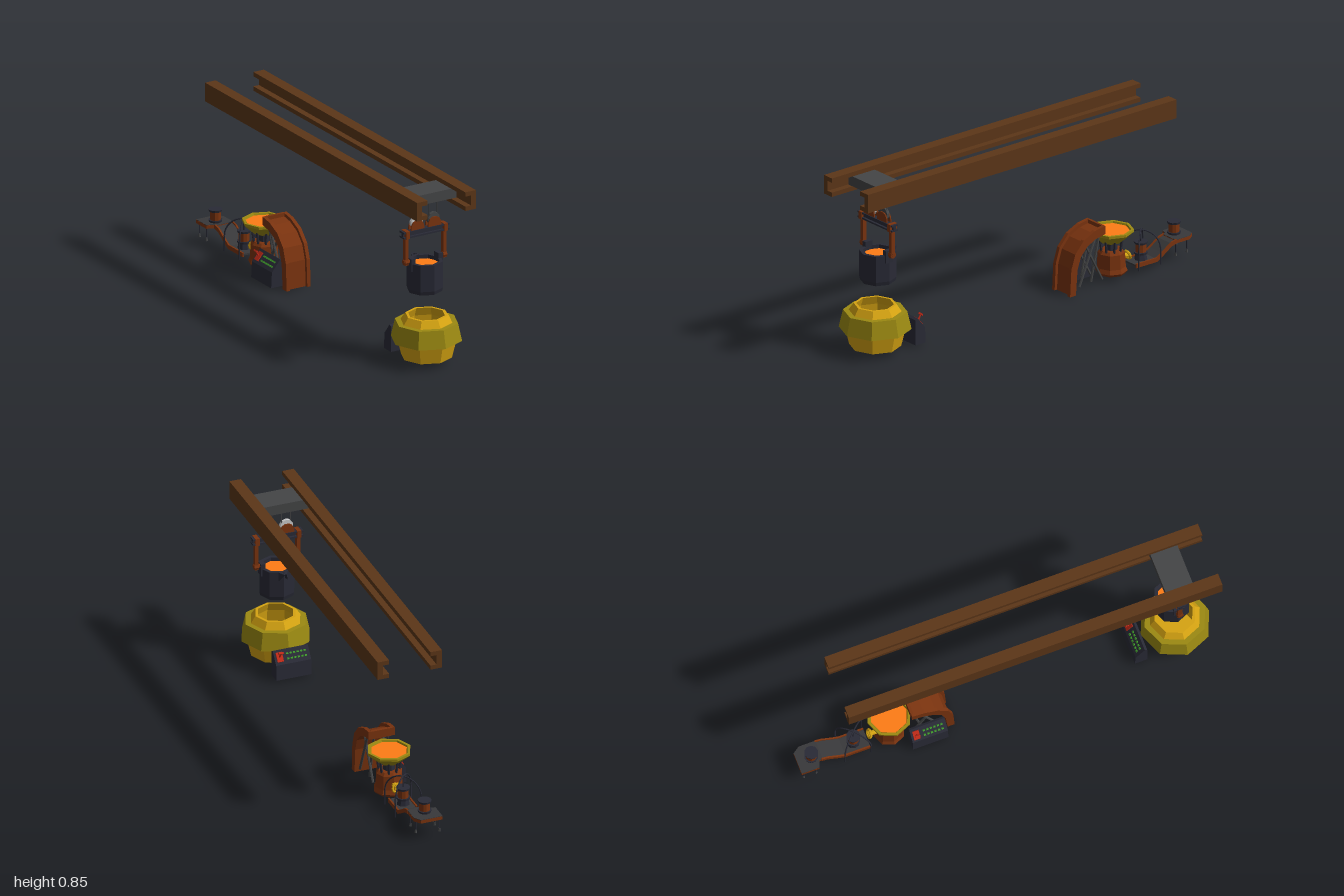
import * as THREE from 'three';

const mat = (color) => new THREE.MeshStandardMaterial({ color, flatShading: true, side: THREE.DoubleSide });
const M = {
  wood: mat(0x5c3618), rust: mat(0x7a330f), dark: mat(0x292a36), iron: mat(0x444546), deck: mat(0x38383a),
  gold: mat(0xd6a412), olive: mat(0x9c8a12), molten: mat(0xff7d16), pale: mat(0xcccccc),
  red: mat(0xc02a18), green: mat(0x3f9a2c),
};

function add(parent, name, geo, material, x = 0, y = 0, z = 0) {
  const m = new THREE.Mesh(geo, material);
  m.name = name;
  m.position.set(x, y, z);
  parent.add(m);
  return m;
}
function group(parent, name, x = 0, y = 0, z = 0) {
  const g = new THREE.Group();
  g.name = name;
  g.position.set(x, y, z);
  parent.add(g);
  return g;
}
const box = (w, h, d) => new THREE.BoxGeometry(w, h, d);
const cyl = (rt, rb, h, n = 8) => new THREE.CylinderGeometry(rt, rb, h, n);
const lathe = (pts, n = 8) => new THREE.LatheGeometry(pts.map(([r, y]) => new THREE.Vector2(r, y)), n);
const toShape = (pts) => new THREE.Shape(pts.map(([a, b]) => new THREE.Vector2(a, b)));
const extrude = (pts, depth) => new THREE.ExtrudeGeometry(toShape(pts), { depth, bevelEnabled: false });
// profile given as [z, y], extruded along x and centred on it
const sideExtrude = (pts, w) => extrude(pts, w).translate(0, 0, -w / 2).rotateY(-Math.PI / 2);
function rod(parent, name, a, b, r, material, n = 6) {
  const A = new THREE.Vector3(...a), B = new THREE.Vector3(...b);
  const m = add(parent, name, cyl(r, r, A.distanceTo(B), n), material);
  m.position.copy(A).lerp(B, 0.5);
  m.quaternion.setFromUnitVectors(new THREE.Vector3(0, 1, 0), B.sub(A).normalize());
  return m;
}

// sloped console whose keys face -z
function controlPanel(parent, name) {
  const g = group(parent, name);
  add(g, 'panelBody', sideExtrude([[0.03, 0], [0.03, 0.122], [0.018, 0.13], [-0.026, 0.075], [-0.03, 0]], 0.17), M.dark);
  const face = group(g, 'panelFace', 0, 0.103, -0.004);
  face.rotation.x = -Math.atan2(0.055, 0.044);
  for (let row = 0; row < 2; row++)
    for (let i = 0; i < 6; i++)
      add(face, 'key', box(0.01, 0.006, 0.008), M.green, -0.063 + i * 0.017, 0.002, -0.013 + row * 0.024);
  add(face, 'leverPlate', box(0.03, 0.005, 0.045), M.red, 0.06, 0.002, 0);
  rod(face, 'lever', [0.06, 0, 0], [0.06, 0.032, 0.012], 0.004, M.red);
  add(face, 'leverGrip', box(0.024, 0.008, 0.008), M.red, 0.06, 0.032, 0.012);
  return g;
}

function buildCrane(root) {
  // channel rails, open to the inside
  const c = [[0.1, 0.76], [0.156, 0.76], [0.156, 0.85], [0.1, 0.85], [0.1, 0.829], [0.13, 0.829], [0.13, 0.781], [0.1, 0.781]];
  for (const s of [-1, 1])
    add(root, 'rail', extrude(c.map(([x, y]) => [x * s, y]), 1.8), M.wood, 0, 0, -0.8);
  const g = group(root, 'craneTrolley', 0, 0, 0.815);
  add(g, 'trolley', box(0.258, 0.048, 0.13), M.iron, 0, 0.805, 0);
  for (const x of [-0.066, -0.023, 0.023, 0.066]) rod(g, 'cable', [x, 0.66, 0], [x, 0.79, 0], 0.0025, M.iron);
  // I-beam with pulleys between domed cheek plates
  add(g, 'beamWeb', box(0.24, 0.03, 0.014), M.dark, 0, 0.629, 0);
  for (const y of [0.617, 0.641]) add(g, 'beamFlange', box(0.243, 0.008, 0.036), M.dark, 0, y, 0);
  const dome = [[-0.035, 0], [0.035, 0], [0.033, 0.02], [0.024, 0.036], [0.01, 0.044], [-0.01, 0.044], [-0.024, 0.036], [-0.033, 0.02]];
  for (const s of [-1, 1]) {
    add(g, 'pulley', cyl(0.032, 0.032, 0.014, 10).rotateX(Math.PI / 2), s < 0 ? M.pale : M.iron, s * 0.045, 0.677, 0);
    for (const z of [0.008, -0.014]) add(g, 'pulleyCheek', extrude(dome, 0.006), M.rust, s * 0.045, 0.645, z);
    // hanger arms
    add(g, 'hangerArm', box(0.017, 0.166, 0.022), M.rust, s * 0.101, 0.564, 0);
    add(g, 'hangerCollar', box(0.02, 0.036, 0.042), M.rust, s * 0.101, 0.629, 0);
    add(g, 'hangerEye', cyl(0.016, 0.016, 0.02).rotateZ(Math.PI / 2), M.rust, s * 0.101, 0.495, 0);
    add(g, 'trunnionPin', cyl(0.01, 0.01, 0.045).rotateZ(Math.PI / 2), M.rust, s * 0.091, 0.496, 0);
    add(g, 'ladleLug', box(0.022, 0.06, 0.04), M.dark, s * 0.073, 0.48, 0);
  }
  // ladle with pouring lip at the back
  add(g, 'ladle', lathe([[0, 0.342], [0.08, 0.342], [0.085, 0.36], [0.085, 0.486], [0.068, 0.486], [0.068, 0.455]]), M.dark);
  add(g, 'ladleMetal', cyl(0.069, 0.069, 0.004), M.molten, 0, 0.466, 0);
  for (const s of [-1, 1]) {
    const lip = add(g, 'ladleLip', sideExtrude([[0, 0], [0, 0.046], [-0.035, 0.046]], 0.01), M.dark, s * 0.018, 0.441, -0.074);
    lip.rotation.y = s * 0.5;
  }
}

function buildFurnace(root) {
  const g = group(root, 'furnace', 0, 0, 0.83);
  add(g, 'furnaceBase', lathe([[0, 0.03], [0.118, 0.03], [0.138, 0.113]]), M.gold);
  add(g, 'furnaceBand', lathe([[0.13, 0.113], [0.165, 0.113], [0.146, 0.197], [0.115, 0.197]]), M.olive);
  add(g, 'furnaceMouth', lathe([[0.12, 0.197], [0.098, 0.23], [0.085, 0.23], [0.1, 0.19], [0.11, 0.1], [0.09, 0.045], [0, 0.045]]), M.gold);
  controlPanel(root, 'furnacePanel').position.set(0, 0.01, 0.635);
}

function buildSlide(root) {
  // curved chute: raised side cheeks and an inset centre plate
  const outer = [[-0.255, 0], [-0.262, 0.13], [-0.285, 0.2], [-0.335, 0.255], [-0.4, 0.285], [-0.46, 0.295]];
  const inner = [[-0.46, 0.255], [-0.405, 0.245], [-0.355, 0.22], [-0.318, 0.18], [-0.298, 0.12], [-0.289, 0]];
  const inset = outer.map(([z, y], i) => [z + (inner[5 - i][0] - z) * 0.4, y + (inner[5 - i][1] - y) * 0.4]);
  const g = group(root, 'chute');
  for (const s of [-1, 1]) add(g, 'chuteCheek', sideExtrude([...outer, ...inner], 0.018), M.rust, s * 0.055, 0, 0);
  add(g, 'chutePlate', sideExtrude([...inset, ...inner], 0.1), M.rust);
  add(g, 'chuteEnd', box(0.1, 0.04, 0.012), M.rust, 0, 0.275, -0.456);
  // crossed bracing
  for (const x of [-0.05, 0.05]) {
    rod(g, 'brace', [x, 0.03, -0.32], [x, 0.265, -0.42], 0.006, M.iron);
    rod(g, 'brace', [x * 0.85, 0.03, -0.46], [x * 0.85, 0.24, -0.35], 0.006, M.iron);
    rod(g, 'brace', [x * 0.7, 0.03, -0.4], [x * 0.7, 0.26, -0.45], 0.006, M.iron);
  }
  const p = controlPanel(root, 'chutePanel');
  p.rotation.y = Math.PI / 2;
  p.position.set(-0.085, 0.01, -0.39);
}

function buildBasin(root) {
  const g = group(root, 'basin', 0, 0, -0.548);
  add(g, 'pedestal', lathe([[0, 0.028], [0.066, 0.028], [0.074, 0.04], [0.066, 0.06], [0.062, 0.128], [0.05, 0.142], [0, 0.142]]), M.rust);
  for (let i = 0; i < 8; i++) {
    const a = (i + 0.5) * Math.PI / 4, s = Math.sin(a), c = Math.cos(a);
    rod(g, 'basinStrut', [s * 0.043, 0.115, c * 0.043], [s * 0.055, 0.2, c * 0.055], 0.006, M.dark);
  }
  add(g, 'basinStem', cyl(0.025, 0.03, 0.06), M.dark, 0, 0.16, 0);
  add(g, 'basinBowl', lathe([[0, 0.18], [0.05, 0.18], [0.103, 0.228], [0.103, 0.24], [0.09, 0.24], [0.08, 0.215]]), M.olive);
  add(g, 'basinMetal', cyl(0.086, 0.086, 0.004), M.molten, 0, 0.23, 0);
  // tap valve at the back of the pedestal
  add(g, 'tapPipe', cyl(0.012, 0.012, 0.05).rotateX(Math.PI / 2), M.gold, 0, 0.088, -0.075);
  const wheel = add(g, 'tapWheel', new THREE.TorusGeometry(0.02, 0.006, 6, 10), M.gold, 0, 0.088, -0.095);
  wheel.rotation.x = 0.3;
}

function buildCastingLine(root) {
  const g = group(root, 'castingLine');
  // stepped walkway with side rims
  const path = [[-0.655, 0.04], [-0.775, 0.04], [-0.81, 0.06], [-0.86, 0.093], [-0.89, 0.1]];
  const strip = (h0, h1) => [...path.map(([z, y]) => [z, y + h1]), ...[...path].reverse().map(([z, y]) => [z, y + h0])];
  add(g, 'walkway', sideExtrude(strip(0, 0.008), 0.086), M.deck);
  for (const s of [-1, 1]) add(g, 'walkwayRim', sideExtrude(strip(-0.006, 0.014), 0.008), M.rust, s * 0.045, 0, 0);
  const plan = [[0.047, -0.885], [0.047, -0.965], [0.025, -0.998], [-0.08, -0.998], [-0.08, -0.912], [-0.047, -0.9], [-0.047, -0.885]];
  add(g, 'upperDeckEdge', extrude(plan, 0.016).rotateX(Math.PI / 2), M.rust, 0, 0.11, 0);
  add(g, 'upperDeckTop', extrude(plan, 0.002).rotateX(Math.PI / 2), M.deck, 0, 0.1125, 0);
  for (const [x, z] of [[0.035, -0.895], [0.035, -0.96], [-0.07, -0.925], [-0.07, -0.985]]) {
    rod(g, 'deckLeg', [x, 0.045, z], [x, 0.1, z], 0.003, M.dark);
    add(g, 'deckFoot', cyl(0.004, 0.006, 0.016, 6), M.iron, x, 0.038, z);
  }
  // casting pots with flanged ends
  for (const [x, y, z] of [[0, 0.074, -0.72], [-0.02, 0.112, -0.93]]) {
    const pot = group(g, 'castingPot', x, y, z);
    add(pot, 'potBody', cyl(0.025, 0.025, 0.056, 10), M.rust, 0, 0.03, 0);
    for (const h of [0.006, 0.056]) add(pot, 'potFlange', cyl(0.032, 0.03, 0.01, 10), M.dark, 0, h, 0);
  }
  // two crossed hoops carrying the lower pot
  for (const s of [-1, 1]) {
    const hoop = group(g, 'hoop', 0, 0.1, -0.72);
    hoop.rotation.y = s * Math.PI / 4;
    add(hoop, 'hoopArc', new THREE.TorusGeometry(0.09, 0.0035, 6, 16, Math.PI), M.dark);
    for (const e of [-1, 1]) rod(hoop, 'hoopLeg', [e * 0.09, 0.025 - 0.1, 0], [e * 0.09, 0, 0], 0.0035, M.dark);
  }
  rod(g, 'potHanger', [0, 0.13, -0.72], [0, 0.19, -0.72], 0.004, M.dark);
  add(g, 'potStand', cyl(0.025, 0.03, 0.028), M.dark, 0, 0.06, -0.72);
}

export function createModel() {
  const root = new THREE.Group();
  root.name = 'foundry';
  [buildCrane, buildFurnace, buildSlide, buildBasin, buildCastingLine].forEach((build) => build(root));
  return root;
}
